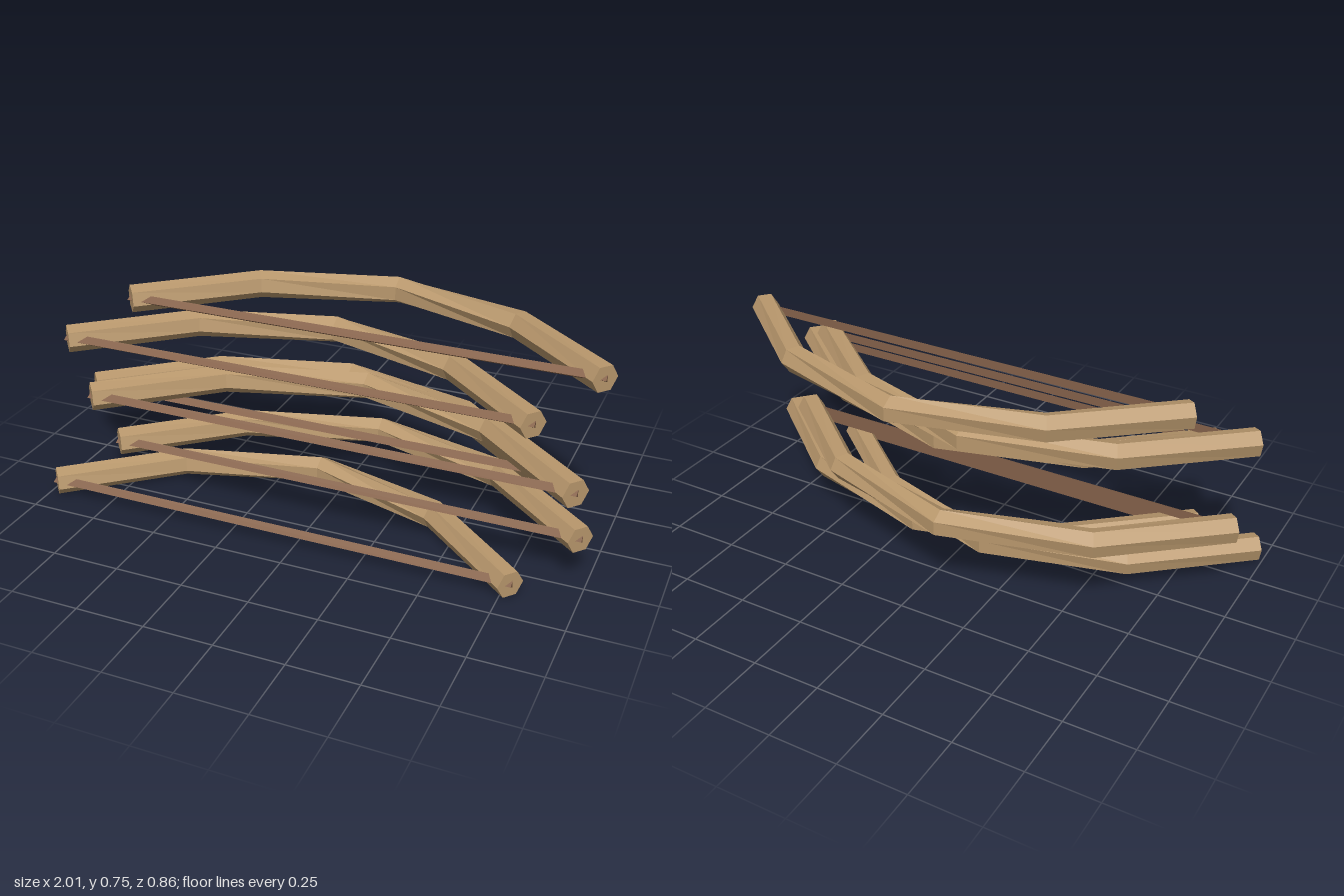
import * as THREE from 'three';

const wood = new THREE.MeshStandardMaterial({ color: 0xb8976c, flatShading: true });
wood.name = 'wood';
const cord = new THREE.MeshStandardMaterial({ color: 0x85624a, flatShading: true });
cord.name = 'cord';

// Hexagonal limb swept along a bent centre line, with a slight twist
function limbGeometry() {
  const R = 0.051, N = 6;
  // x, z, twist in degrees
  const path = [
    [-0.877, 0, -45], [-0.502, -0.32, -42], [0, -0.465, -30],
    [0.502, -0.32, -4], [0.877, 0, 0],
  ];
  const rings = path.map(([x, z, twist], i) => {
    const a = path[Math.max(i - 1, 0)], b = path[Math.min(i + 1, path.length - 1)];
    const t = new THREE.Vector2(b[0] - a[0], b[1] - a[1]).normalize();
    // outward normal, towards the back
    const nx = t.y, nz = -t.x;
    return Array.from({ length: N }, (_, k) => {
      const ang = (k * 60 + twist) * Math.PI / 180;
      const c = R * Math.cos(ang);
      return [x + nx * c, R * Math.sin(ang), z + nz * c];
    });
  });
  const pos = [];
  const tri = (a, b, c) => pos.push(...a, ...b, ...c);
  for (let i = 0; i < rings.length - 1; i++) {
    for (let k = 0; k < N; k++) {
      const m = (k + 1) % N;
      const a = rings[i][k], b = rings[i][m], c = rings[i + 1][m], d = rings[i + 1][k];
      tri(a, c, b);
      tri(a, d, c);
    }
  }
  // end caps
  const first = rings[0], last = rings[rings.length - 1];
  for (let k = 1; k < N - 1; k++) {
    tri(first[0], first[k], first[k + 1]);
    tri(last[0], last[k + 1], last[k]);
  }
  // make every face point outward
  const g = new THREE.BufferGeometry();
  g.setAttribute('position', new THREE.Float32BufferAttribute(orient(pos, path), 3));
  g.computeVertexNormals();
  return g;
}

// Reverse the winding of the whole closed surface if its volume is negative
function orient(p) {
  const a = new THREE.Vector3(), b = new THREE.Vector3(), c = new THREE.Vector3();
  let volume = 0;
  for (let i = 0; i < p.length; i += 9) {
    a.fromArray(p, i); b.fromArray(p, i + 3); c.fromArray(p, i + 6);
    volume += a.dot(b.cross(c));
  }
  if (volume < 0) {
    for (let i = 0; i < p.length; i += 9) {
      for (let j = 0; j < 3; j++) [p[i + 3 + j], p[i + 6 + j]] = [p[i + 6 + j], p[i + 3 + j]];
    }
  }
  return p;
}

export function createModel() {
  const group = new THREE.Group();
  group.name = 'bowStack';
  const limb = limbGeometry();
  // Three-sided string with one edge facing forward
  const string = new THREE.CylinderGeometry(0.019, 0.019, 1.766, 3);
  string.rotateZ(Math.PI / 2);

  // Six bows, staggered sideways and stepping back in threes
  for (let i = 0; i < 6; i++) {
    const bow = new THREE.Group();
    bow.name = 'bow' + (i + 1);
    const limbMesh = new THREE.Mesh(limb, wood);
    limbMesh.name = 'bowLimb';
    const stringMesh = new THREE.Mesh(string, cord);
    stringMesh.name = 'bowString';
    stringMesh.position.z = -0.003;
    bow.add(limbMesh, stringMesh);
    bow.position.set(i % 2 ? 0.093 : -0.093, 0.053 + 0.1294 * i, 0.392 - 0.155 * (i % 3));
    group.add(bow);
  }
  return group;
}
